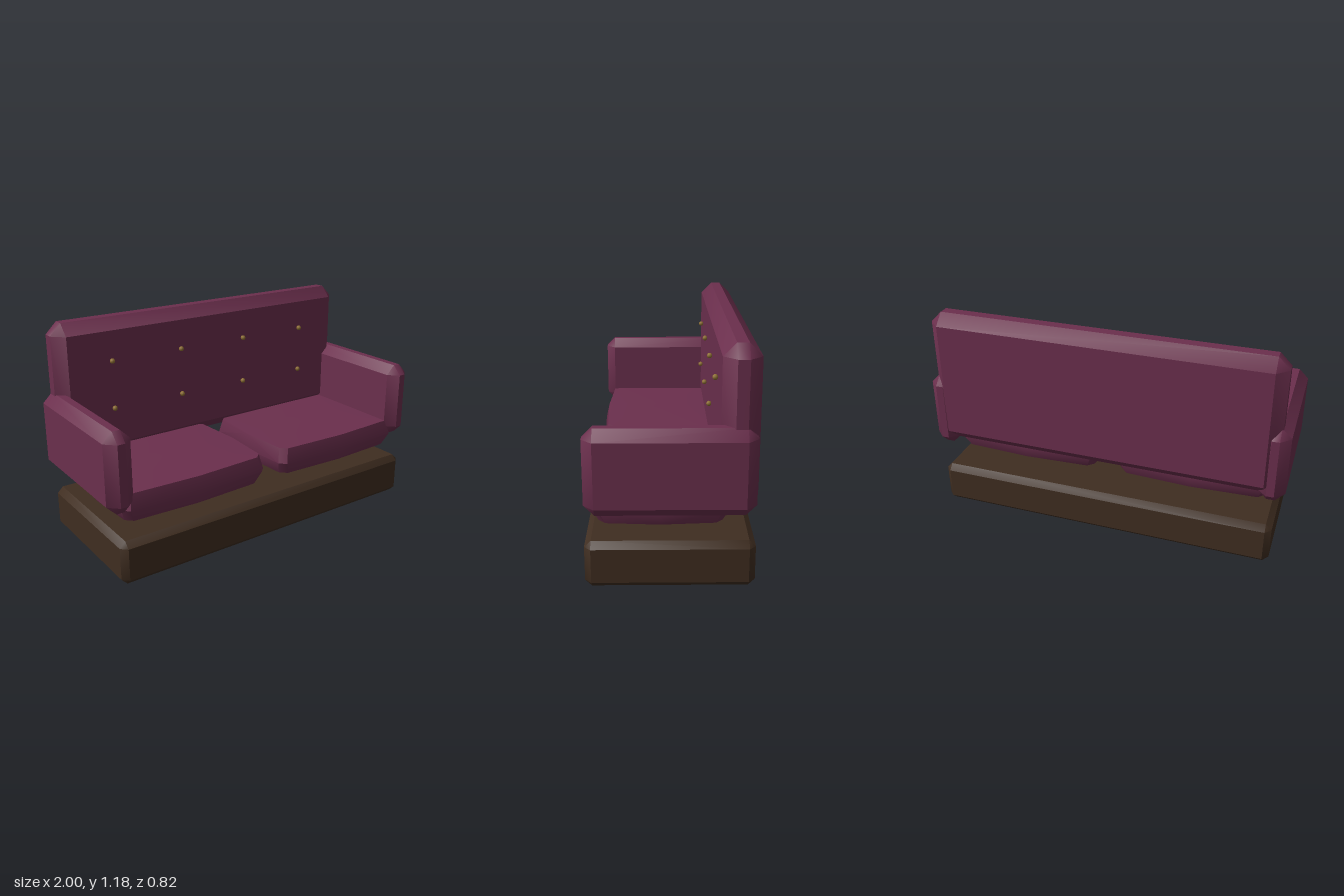
import * as THREE from 'three';
import { toCreasedNormals } from 'three/addons/utils/BufferGeometryUtils.js';
import { ConvexGeometry } from 'three/addons/geometries/ConvexGeometry.js';

const CREASE = 0.7;

// Box spanning two corners, with every edge cut at 45 degrees by c
function chamferBox(min, max, c) {
  const half = min.map((v, i) => (max[i] - v) / 2);
  const mid = min.map((v, i) => (max[i] + v) / 2);
  const points = [];
  for (const sx of [-1, 1]) for (const sy of [-1, 1]) for (const sz of [-1, 1]) {
    const s = [sx, sy, sz];
    for (let axis = 0; axis < 3; axis++) {
      points.push(new THREE.Vector3(
        ...s.map((sign, i) => mid[i] + sign * (half[i] - (i === axis ? 0 : c)))));
    }
  }
  return toCreasedNormals(new ConvexGeometry(points), CREASE);
}

// Plump seat cushion: rings of a cut-corner outline with slightly bowed sides
function cushionGeometry() {
  const hx = 0.45, hz = 0.345, cut = 0.035, bow = 0.018;
  const rings = [[0.298, 0.06], [0.312, 0.03], [0.385, 0], [0.468, 0.018]]; // y, inset
  const points = [];
  for (const [y, inset] of rings) {
    const x = hx - inset, z = hz - inset;
    for (const s of [-1, 1]) {
      points.push(new THREE.Vector3(s * x, y, 0), new THREE.Vector3(0, y, s * z));
      for (const t of [-1, 1]) {
        points.push(new THREE.Vector3(s * (x - bow), y, t * (z - bow - cut)));
        points.push(new THREE.Vector3(s * (x - bow - cut), y, t * (z - bow)));
      }
    }
  }
  points.push(new THREE.Vector3(0, 0.478, 0), new THREE.Vector3(0, 0.294, 0));
  return toCreasedNormals(new ConvexGeometry(points), CREASE);
}

export function createModel() {
  const group = new THREE.Group();
  const material = (name, color) => {
    const m = new THREE.MeshStandardMaterial({ color });
    m.name = name;
    return m;
  };
  const fabric = material('plum fabric', 0x6b2f4d);
  const wood = material('dark wood', 0x3f2d20);
  const brass = material('brass', 0x8f7034);

  const add = (name, geometry, mat, x = 0, y = 0, z = 0) => {
    const mesh = new THREE.Mesh(geometry, mat);
    mesh.name = name;
    mesh.position.set(x, y, z);
    group.add(mesh);
  };

  add('base', chamferBox([-0.955, 0, -0.405], [0.955, 0.238, 0.41], 0.032), wood);
  add('backrest', chamferBox([-0.955, 0.422, -0.41], [0.955, 1.185, -0.23], 0.062), fabric);

  // Arms and seat cushions, mirrored
  const arm = chamferBox([-0.0725, 0.38, -0.4], [0.0725, 0.808, 0.405], 0.052);
  const cushion = cushionGeometry();
  for (const [side, s] of [['left', 1], ['right', -1]]) {
    add(side + 'Arm', arm, fabric, s * 0.9275);
    add(side + 'Cushion', cushion, fabric, s * 0.485, 0, 0.046);
  }

  // Two rows of buttons on the backrest
  const button = new THREE.SphereGeometry(0.0145, 8, 6);
  for (const y of [0.96, 0.693]) {
    for (let i = 0; i < 4; i++) {
      add('button', button, brass, -0.648 + i * 0.43, y, -0.217);
    }
  }
  return group;
}
